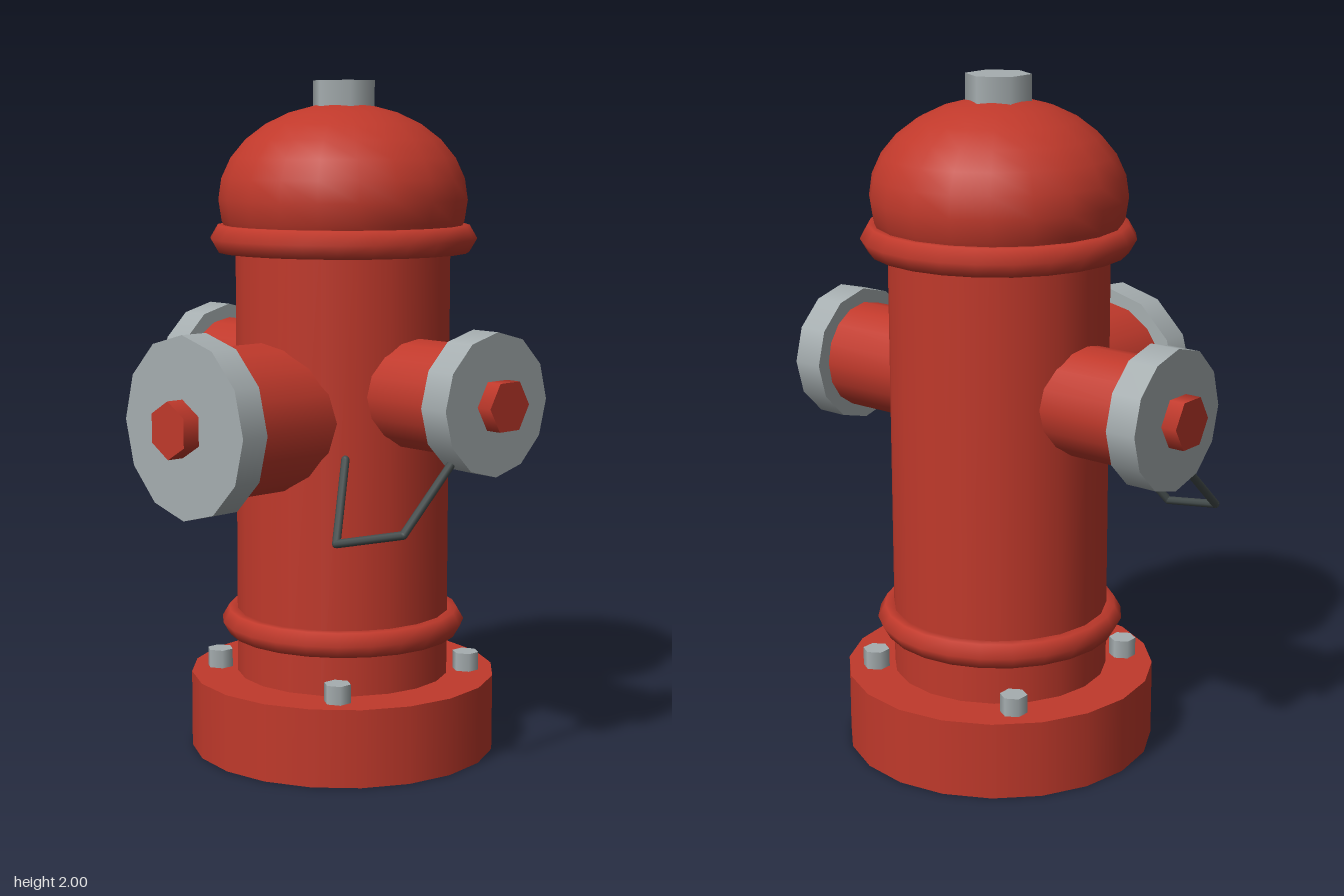
import * as THREE from 'three';

export function createModel() {
  const model = new THREE.Group();
  model.name = 'fireHydrant';

  const paint = (name, color) => {
    const m = new THREE.MeshStandardMaterial({ color });
    m.name = name;
    return m;
  };
  const red = paint('hydrantRed', 0xc0392b);
  const grey = paint('steelGrey', 0xa6aeb0);
  const dark = paint('chainGrey', 0x444c4c);

  // Everything but the rods and the front outlet is set about this axis
  const barrel = new THREE.Group();
  barrel.name = 'barrel';
  barrel.position.z = -0.1;
  model.add(barrel);

  const add = (parent, name, geometry, material) => {
    const mesh = new THREE.Mesh(geometry, material);
    mesh.name = name;
    parent.add(mesh);
    return mesh;
  };
  // Upright cylinder between two heights
  const drum = (parent, name, radius, from, to, sides, material) => {
    const mesh = add(parent, name, new THREE.CylinderGeometry(radius, radius, to - from, sides), material);
    mesh.position.y = (from + to) / 2;
    return mesh;
  };
  const ring = (name, radius, tube, y) => {
    const mesh = add(barrel, name, new THREE.TorusGeometry(radius, tube, 6, 24), red);
    mesh.rotation.x = -Math.PI / 2;
    mesh.position.y = y;
  };

  // Base, body, collars and dome
  drum(barrel, 'base', 0.46, 0, 0.23, 20, red);
  drum(barrel, 'body', 0.32, 0.2, 1.6, 20, red);
  ring('lowerCollar', 0.325, 0.042, 0.388);
  ring('upperCollar', 0.35, 0.046, 1.54);
  const dome = add(barrel, 'dome', new THREE.SphereGeometry(0.37, 20, 14), red);
  dome.scale.y = 0.28 / 0.37;
  dome.position.y = 1.655;
  drum(barrel, 'topNut', 0.095, 1.88, 2, 6, grey);

  // Base bolts
  for (const x of [-1, 1]) for (const z of [-1, 1]) {
    const bolt = drum(barrel, 'baseBolt', 0.04, 0.22, 0.285, 6, grey);
    bolt.position.x = x * 0.265;
    bolt.position.z = z * 0.265;
  }

  // Outlets: pipe, cap and nut, built upright and then laid over
  const outlet = (name, y, pipeR, capR, nutR, capFrom, capTo, nutTo) => {
    const group = new THREE.Group();
    group.name = name;
    group.position.y = y;
    drum(group, 'outletPipe', pipeR, 0, capFrom + 0.02, 16, red);
    drum(group, 'outletCap', capR, capFrom, capTo, 12, grey);
    drum(group, 'outletNut', nutR, capTo - 0.02, nutTo, 6, red);
    barrel.add(group);
    return group;
  };
  outlet('frontOutlet', 1.03, 0.22, 0.264, 0.083, 0.525, 0.612, 0.665).rotation.x = Math.PI / 2;
  outlet('leftOutlet', 1.105, 0.16, 0.203, 0.078, 0.533, 0.627, 0.675).rotation.z = -Math.PI / 2;
  outlet('rightOutlet', 1.105, 0.16, 0.203, 0.078, 0.533, 0.627, 0.675).rotation.z = Math.PI / 2;

  // Bent retaining rods running from each side cap to the body
  const rodRadius = 0.012;
  for (const side of [1, -1]) {
    const rod = new THREE.Group();
    rod.name = side > 0 ? 'leftRod' : 'rightRod';
    model.add(rod);
    const points = [
      [0.565, 0.95, 0.01], [0.565, 0.77, 0.2], [0.36, 0.722, 0.258], [0.25, 0.93, 0.122],
    ].map(([x, y, z]) => new THREE.Vector3(side * x, y, z));
    for (let i = 0; i < 3; i++) {
      const path = new THREE.LineCurve3(points[i], points[i + 1]);
      add(rod, 'rodSegment', new THREE.TubeGeometry(path, 1, rodRadius, 8), dark);
    }
    points.forEach((p) => {
      add(rod, 'rodJoint', new THREE.SphereGeometry(rodRadius, 8, 6), dark).position.copy(p);
    });
  }

  return model;
}
